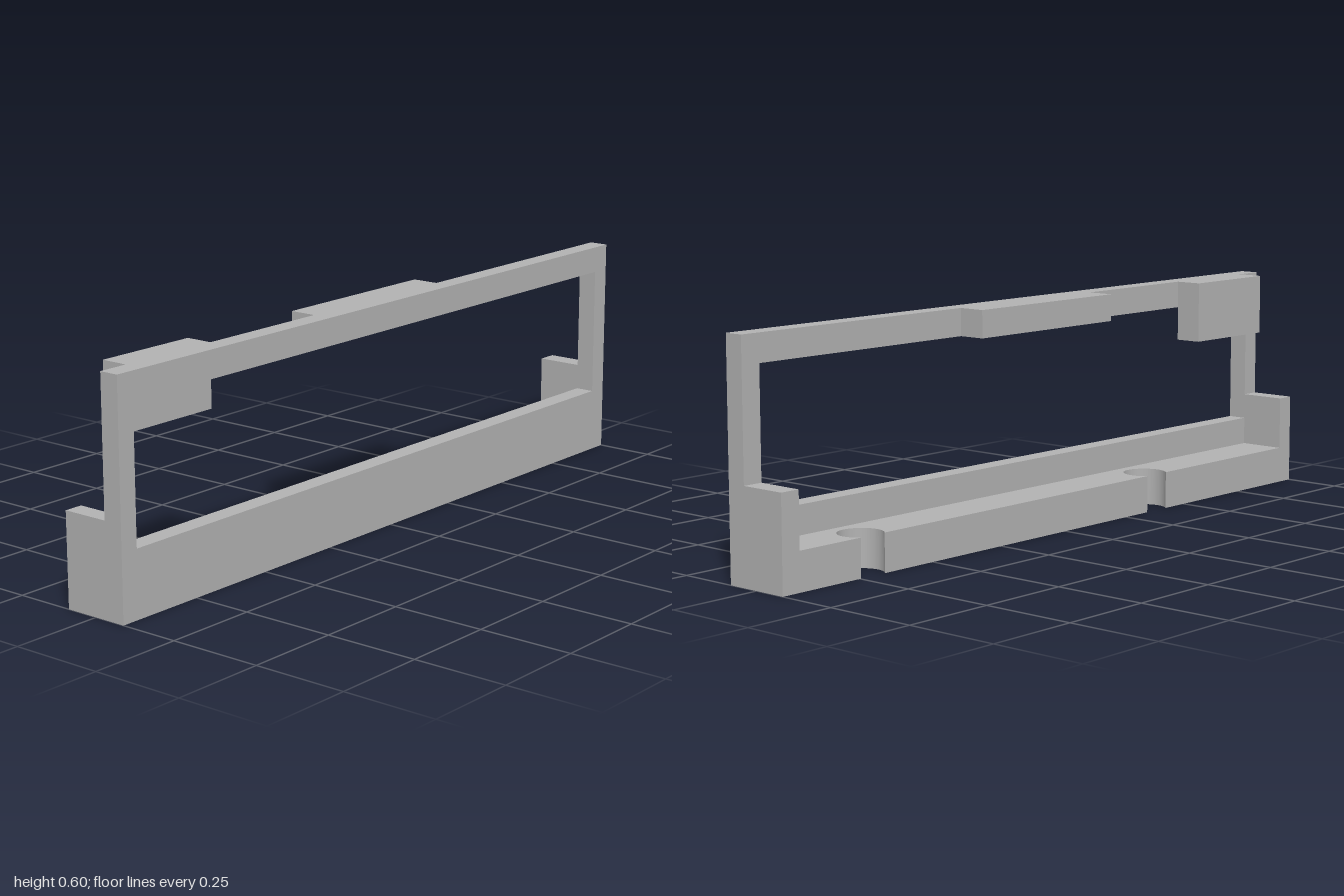
import * as THREE from 'three';

export function createModel() {
  const model = new THREE.Group();
  const grey = new THREE.MeshStandardMaterial({ color: 0xb2b2b2 });
  grey.name = 'plain grey';

  const BACK = -0.09, MID = 0.0375, FRONT = 0.09;
  const LEFT = 0.945, RIGHT = -0.95;

  function add(name, geometry) {
    const mesh = new THREE.Mesh(geometry, grey);
    mesh.name = name;
    model.add(mesh);
  }
  // Box given by its limits on each axis
  function block(name, x0, x1, y0, y1, z0, z1) {
    const g = new THREE.BoxGeometry(x1 - x0, y1 - y0, z1 - z0);
    g.translate((x0 + x1) / 2, (y0 + y1) / 2, (z0 + z1) / 2);
    add(name, g);
  }

  // Front plate with its long window
  const plate = new THREE.Shape([
    new THREE.Vector2(-1, 0), new THREE.Vector2(1, 0),
    new THREE.Vector2(1, 0.6), new THREE.Vector2(-1, 0.6),
  ]);
  plate.holes.push(new THREE.Path([
    new THREE.Vector2(RIGHT, 0.175), new THREE.Vector2(RIGHT, 0.528),
    new THREE.Vector2(LEFT, 0.528), new THREE.Vector2(LEFT, 0.175),
  ]));
  const plateGeometry = new THREE.ExtrudeGeometry(plate, { depth: FRONT - MID, bevelEnabled: false });
  add('frontFrame', plateGeometry.translate(0, 0, MID));

  // Bottom shelf with two round notches open to the back
  const r = 0.058, notchZ = -0.048;
  const a = Math.asin((notchZ - BACK) / r);
  const shelf = new THREE.Shape();
  shelf.moveTo(RIGHT, -MID);
  shelf.lineTo(LEFT, -MID);
  shelf.lineTo(LEFT, -BACK);
  for (const x of [0.707, -0.38]) shelf.absarc(x, -notchZ, r, a, -Math.PI - a, true);
  shelf.lineTo(RIGHT, -BACK);
  shelf.closePath();
  const shelfGeometry = new THREE.ExtrudeGeometry(shelf, { depth: 0.1, bevelEnabled: false, curveSegments: 32 });
  add('shelf', shelfGeometry.rotateX(-Math.PI / 2));

  // End walls of the shelf
  block('rightEndWall', -1, RIGHT, 0, 0.245, BACK, MID);
  block('leftEndWall', LEFT, 1, 0, 0.245, BACK, MID);

  // Blocks behind the top rail
  block('cornerBlock', -0.918, -0.63, 0.436, 0.6, -0.036, MID);
  block('middleBlock', -0.246, 0.26, 0.528, 0.6, -0.036, MID);

  return model;
}
